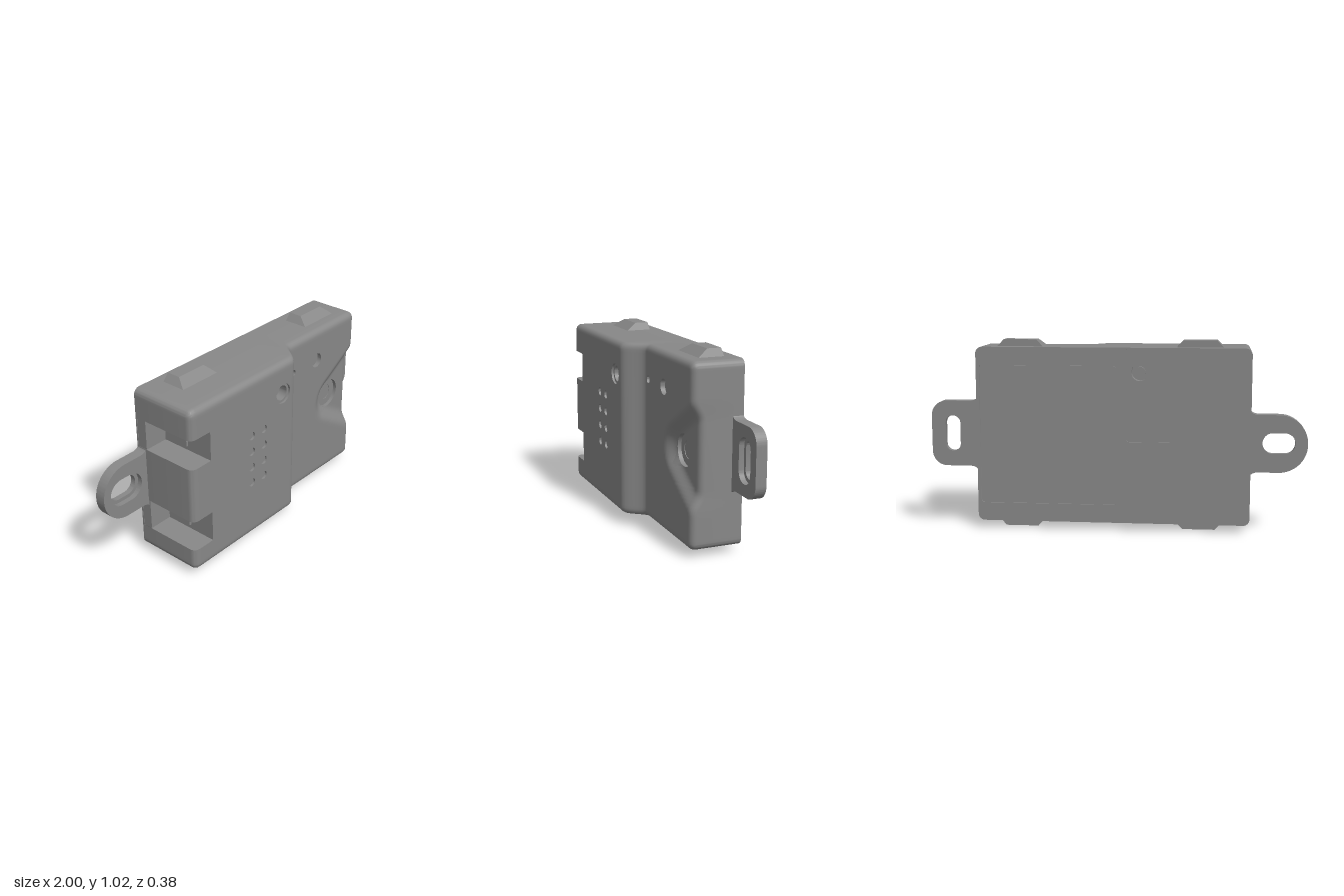
import * as THREE from 'three';
import { toCreasedNormals } from 'three/addons/utils/BufferGeometryUtils.js';

const X0 = -0.705, X1 = 0.755, Y0 = 0.04, Y1 = 0.98, BACK = -0.195, R = 0.035;
const NOTCH_X = -0.57, NOTCH_FLOOR = -0.13, NOTCHES = [[0.17, 0.345], [0.655, 0.82]];

// Round recesses in the front: centre, half size of the square patch, [radius, depth] steps
const HOLES = [
  { x: -0.01, y: 0.8, h: 0.06, steps: [[0.056, 0.012], [0.042, 0.06]] },
  { x: 0.203, y: 0.8, h: 0.022, steps: [[0.02, 0.03]] },
  { x: 0.41, y: 0.8, h: 0.046, steps: [[0.041, 0.025]] },
  { x: 0.58, y: 0.51, h: 0.09, steps: [[0.084, 0.02], [0.046, 0.023]] },
];
for (const x of [-0.26, -0.165]) {
  for (const y of [0.37, 0.465, 0.56, 0.655]) HOLES.push({ x, y, h: 0.028, steps: [[0.023, 0.012]] });
}

const plastic = new THREE.MeshStandardMaterial({ color: 0x888888, side: THREE.DoubleSide });
const { clamp, smoothstep } = THREE.MathUtils;

// Height of the front: thick half, sloped step, thin half with a wedge-shaped dip
function frontHeight(x, y) {
  const px = x - 0.56, py = Math.abs(y - 0.51);
  const along = px * 0.857 + py * 0.515;
  const d = (along < 0 ? Math.hypot(px, py) : py * 0.857 - px * 0.515) - 0.15;
  return 0.185 - 0.105 * smoothstep(x, 0.065, 0.18) - 0.042 * smoothstep(-d, 0, 0.09);
}

// Front surface point, rolled over into rounded edges and corners at the rim
function surf(x, y) {
  const cx = clamp(x, X0 + R, X1 - R), cy = clamp(y, Y0 + R, Y1 - R);
  const dx = x - cx, dy = y - cy, len = Math.hypot(dx, dy);
  const a = Math.max(Math.abs(dx), Math.abs(dy)) / R * Math.PI / 2;
  const k = len > 1e-9 ? R * Math.sin(a) / len : 0;
  return [cx + dx * k, cy + dy * k, frontHeight(x, y) - R * (1 - Math.cos(a))];
}

// Grid lines through all the given breaks, with gaps no wider than step
function gridLines(breaks, step) {
  const s = [...breaks].sort((a, b) => a - b).filter((v, i, arr) => !i || v - arr[i - 1] > 1e-6);
  const out = [s[0]];
  for (let i = 1; i < s.length; i++) {
    const n = Math.ceil((s[i] - s[i - 1]) / step - 1e-6);
    for (let k = 1; k <= n; k++) out.push(s[i - 1] + (s[i] - s[i - 1]) * k / n);
  }
  return out;
}

function shellGeometry() {
  const pos = [];
  const quad = (a, b, c, d) => pos.push(...a, ...b, ...c, ...a, ...c, ...d);
  const rim = [0, 0.2, 0.4, 0.6, 0.8, 1].map((t) => t * R);
  const xs = gridLines([...rim.flatMap((r) => [X0 + r, X1 - r]), NOTCH_X, 0.065, 0.18,
    ...HOLES.flatMap((h) => [h.x - h.h, h.x + h.h])], 0.016);
  const ys = gridLines([...rim.flatMap((r) => [Y0 + r, Y1 - r]), ...NOTCHES.flat(),
    ...HOLES.flatMap((h) => [h.y - h.h, h.y + h.h])], 0.016);
  const inNotch = (x, y) => x < NOTCH_X && NOTCHES.some(([a, b]) => y > a && y < b);
  const inHole = (x, y) => HOLES.some((h) => Math.abs(x - h.x) < h.h && Math.abs(y - h.y) < h.h);

  // Front face, leaving out notches and hole patches
  for (let i = 0; i + 1 < xs.length; i++) {
    for (let j = 0; j + 1 < ys.length; j++) {
      const mx = (xs[i] + xs[i + 1]) / 2, my = (ys[j] + ys[j + 1]) / 2;
      if (inNotch(mx, my) || inHole(mx, my)) continue;
      quad(surf(xs[i], ys[j]), surf(xs[i + 1], ys[j]), surf(xs[i + 1], ys[j + 1]), surf(xs[i], ys[j + 1]));
    }
  }

  // Walls dropped from a line of points on the surface
  const drop = (line, z, skip = () => false) => {
    for (let i = 0; i + 1 < line.length; i++) {
      const [p, q] = [line[i], line[i + 1]];
      if (skip((p[0] + q[0]) / 2, (p[1] + q[1]) / 2)) continue;
      const a = surf(...p), b = surf(...q);
      quad([a[0], a[1], z], [b[0], b[1], z], b, a);
    }
  };
  const rx = [...xs].reverse(), ry = [...ys].reverse();
  drop(xs.map((x) => [x, Y0]), BACK);
  drop(ys.map((y) => [X1, y]), BACK);
  drop(rx.map((x) => [x, Y1]), BACK);
  drop(ry.map((y) => [X0, y]), BACK, inNotch);
  for (const [a, b] of NOTCHES) {
    const nx = xs.filter((x) => x <= NOTCH_X + 1e-6);
    drop([...nx].reverse().map((x) => [x, a]), NOTCH_FLOOR);
    drop(nx.map((x) => [x, b]), NOTCH_FLOOR);
    drop(ry.filter((y) => y >= a - 1e-6 && y <= b + 1e-6).map((y) => [NOTCH_X, y]), NOTCH_FLOOR);
  }

  // Square-to-circle patches with stepped recesses
  const N = 32;
  for (const { x, y, h, steps } of HOLES) {
    const z0 = frontHeight(x, y), rings = [];
    const ring = (f) => rings.push(Array.from({ length: N + 1 }, (_, i) => {
      const t = i / N * Math.PI * 2;
      return f(Math.cos(t), Math.sin(t));
    }));
    ring((c, s) => {
      const k = h / Math.max(Math.abs(c), Math.abs(s));
      return surf(x + c * k, y + s * k);
    });
    ring((c, s) => surf(x + c * steps[0][0], y + s * steps[0][0]));
    let depth = 0;
    for (const [r, d] of steps) {
      if (depth) ring((c, s) => [x + c * r, y + s * r, z0 - depth]);
      ring((c, s) => [x + c * r, y + s * r, z0 - d]);
      depth = d;
    }
    ring(() => [x, y, z0 - depth]);
    for (let k = 0; k + 1 < rings.length; k++) {
      for (let i = 0; i < N; i++) quad(rings[k][i], rings[k][i + 1], rings[k + 1][i + 1], rings[k + 1][i]);
    }
  }
  const g = new THREE.BufferGeometry();
  g.setAttribute('position', new THREE.Float32BufferAttribute(pos, 3));
  return toCreasedNormals(g, 0.6);
}

// Rounded rectangle from corner to corner, as a shape or a hole
function roundRect(x0, y0, x1, y1, r, Type = THREE.Shape) {
  const p = new Type();
  p.absarc(x1 - r, y1 - r, r, 0, Math.PI / 2);
  p.absarc(x0 + r, y1 - r, r, Math.PI / 2, Math.PI);
  p.absarc(x0 + r, y0 + r, r, Math.PI, Math.PI * 1.5);
  p.absarc(x1 - r, y0 + r, r, Math.PI * 1.5, Math.PI * 2);
  p.closePath();
  return p;
}

export function createModel() {
  const model = new THREE.Group();
  const add = (name, geo, x = 0, y = 0, z = 0) => {
    const m = new THREE.Mesh(geo, plastic);
    m.name = name;
    m.position.set(x, y, z);
    model.add(m);
    return m;
  };
  const slab = (name, shape, z0, z1) => add(name, toCreasedNormals(new THREE.ExtrudeGeometry(shape,
    { depth: z1 - z0, bevelEnabled: false, curveSegments: 16 }), 0.6), 0, 0, z0);

  add('housing', shellGeometry());

  // Floors of the side notches, with a recessed socket in each
  for (const [a, b] of NOTCHES) {
    const mid = (a + b) / 2;
    add('notchFloor', new THREE.BoxGeometry(0.132, b - a, 0.06), -0.637, mid, -0.16);
    add('socket', new THREE.BoxGeometry(0.02, b - a - 0.05, 0.12), -0.572, mid, -0.03);
  }

  // Back cover with a label panel set in a fine groove, and a door recess with a screw
  const back = roundRect(X0, Y0, X1, Y1, R);
  back.holes.push(roundRect(0, 0.138, 0.737, 0.888, 0.02, THREE.Path));
  back.holes.push(roundRect(-0.29, 0.48, -0.05, 0.978, 0.015, THREE.Path));
  slab('backCover', back, BACK, -0.186);
  slab('backPanel', roundRect(0.005, 0.143, 0.732, 0.883, 0.016), -0.194, -0.186);
  const inner = roundRect(X0 + 0.01, Y0 + 0.01, X1 - 0.01, Y1 - 0.002, 0.03);
  inner.holes.push(new THREE.Path().absarc(-0.12, 0.85, 0.045, 0, Math.PI * 2));
  slab('doorFloor', inner, -0.188, -0.15);
  const screw = add('screw', new THREE.CylinderGeometry(0.028, 0.028, 0.02, 24), -0.12, 0.85, -0.158);
  screw.rotation.x = Math.PI / 2;
  add('screwSeat', new THREE.BoxGeometry(0.12, 0.12, 0.01), -0.12, 0.85, -0.145);

  // Mounting ears in two layers, the front one with a wider slot
  const ear = (name, outline, slot, grow) => {
    [[BACK, -0.165, 0], [-0.165, -0.137, grow]].forEach(([z0, z1, g]) => {
      const s = outline();
      const [x0, y0, x1, y1, r] = slot;
      s.holes.push(roundRect(x0 - g, y0 - g, x1 + g, y1 + g, r + g, THREE.Path));
      slab(name, s, z0, z1);
    });
  };
  const earOutline = (s, tip, yb, yt, r, flare) => () => {
    const p = new THREE.Shape(), root = s > 0 ? X1 - 0.01 : X0 + 0.01, e = root + s * 0.05;
    p.moveTo(root, yb - flare);
    p.quadraticCurveTo(root + s * 0.012, yb, e, yb);
    p.lineTo(tip - s * r, yb);
    p.absarc(tip - s * r, yb + r, r, -Math.PI / 2, s > 0 ? 0 : -Math.PI, s < 0);
    p.absarc(tip - s * r, yt - r, r, s > 0 ? 0 : Math.PI, Math.PI / 2, s < 0);
    p.lineTo(e, yt);
    p.quadraticCurveTo(root + s * 0.012, yt, root, yt + flare);
    p.closePath();
    return p;
  };
  ear('rightEar', earOutline(-1, -1, 0.33, 0.635, 0.15, 0.03), [-0.935, 0.43, -0.765, 0.54, 0.054], 0.02);
  ear('leftEar', earOutline(1, 1, 0.338, 0.69, 0.08, 0.03), [0.845, 0.42, 0.925, 0.61, 0.038], 0.02);

  // Tapered snap clips along the top and bottom
  const clip = new THREE.BoxGeometry(0.25, 0.04, 0.14).toNonIndexed();
  const p = clip.attributes.position;
  for (let i = 0; i < p.count; i++) {
    if (p.getY(i) < 0) continue;
    p.setX(i, p.getX(i) * 0.7);
    if (p.getZ(i) > 0) p.setZ(i, 0.005);
  }
  clip.computeVertexNormals();
  for (const x of [-0.435, 0.525]) {
    add('topClip', clip, x, 0.997, -0.067);
    add('bottomClip', clip, x, 0.02, -0.067).rotation.z = Math.PI;
  }
  return model;
}
